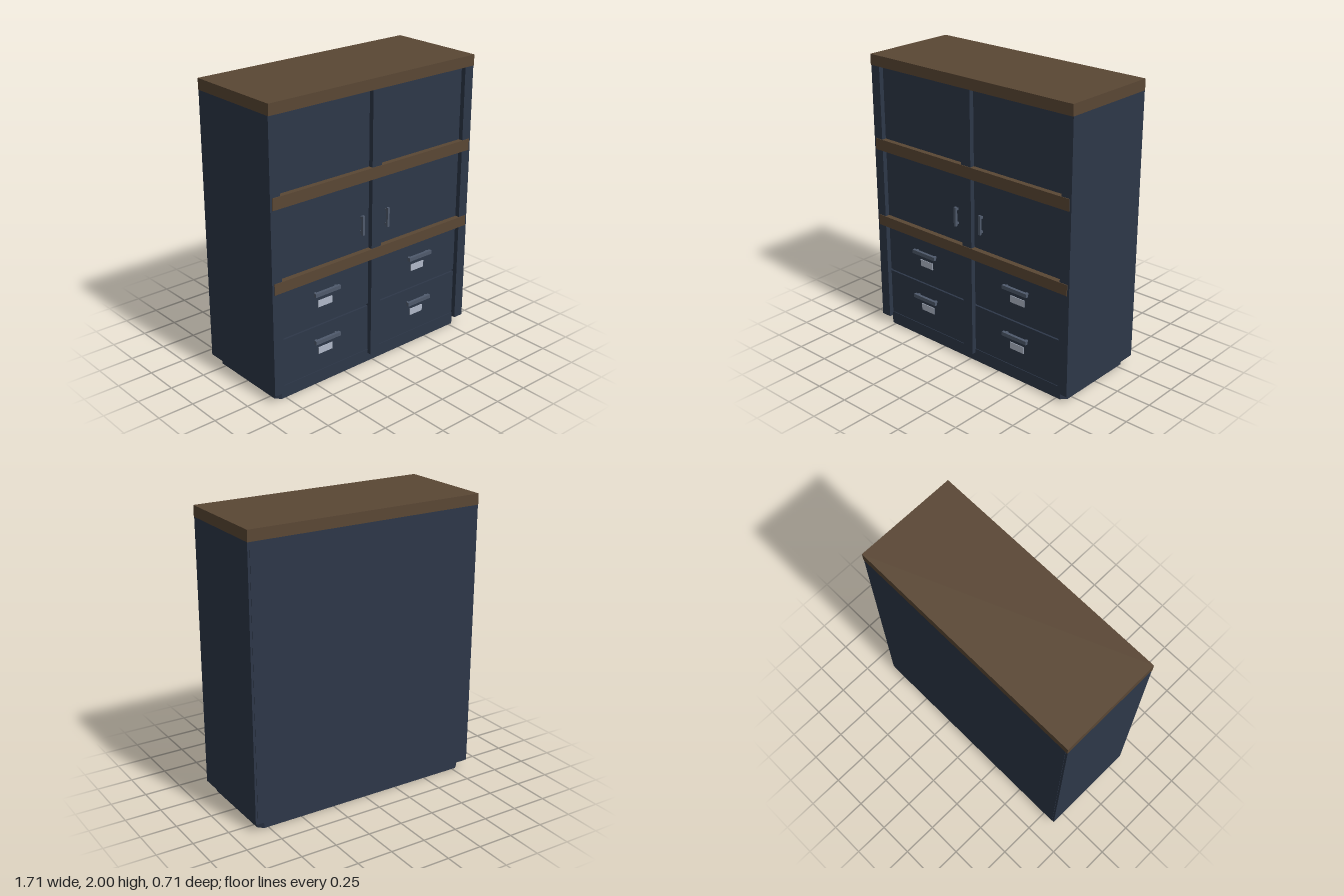
import * as THREE from 'three';

export function createModel() {
  const group = new THREE.Group();
  group.name = 'cabinet';
  const paint = (name, color) => {
    const m = new THREE.MeshStandardMaterial({ color });
    m.name = name;
    return m;
  };
  const navy = paint('navy paint', 0x2d3748);
  const wood = paint('dark wood', 0x5a4734);
  const steel = paint('grey steel', 0x4f5a6c);
  const paper = paint('label paper', 0xb0b9c9);

  // Box given by its minimum and maximum on each axis
  const box = (name, mat, [x0, x1], [y0, y1], [z0, z1]) => {
    const mesh = new THREE.Mesh(new THREE.BoxGeometry(x1 - x0, y1 - y0, z1 - z0), mat);
    mesh.position.set((x0 + x1) / 2, (y0 + y1) / 2, (z0 + z1) / 2);
    mesh.name = name;
    group.add(mesh);
    return mesh;
  };
  const span = (side, a, b) => (side > 0 ? [a, b] : [-b, -a]);

  // Plinth with chamfered corners
  const X = 0.815, Z = 0.325, c = 0.035;
  const outline = new THREE.Shape([
    [X - c, -Z], [X, c - Z], [X, Z - c], [X - c, Z],
    [c - X, Z], [-X, Z - c], [-X, c - Z], [c - X, -Z],
  ].map(([x, y]) => new THREE.Vector2(x, y)));
  const plinthGeo = new THREE.ExtrudeGeometry(outline, { depth: 0.09, bevelEnabled: false });
  plinthGeo.rotateX(-Math.PI / 2);
  const plinth = new THREE.Mesh(plinthGeo, navy);
  plinth.name = 'plinth';
  group.add(plinth);

  // Carcass
  box('backPanel', navy, [-0.84, 0.84], [0.06, 1.925], [-0.355, -0.33]);
  box('carcassCore', navy, [-0.78, 0.78], [0.07, 1.925], [-0.33, 0.305]);
  box('centrePost', navy, [-0.04, 0.04], [0.06, 1.925], [0.3, 0.353]);
  box('topBoard', wood, [-0.855, 0.855], [1.925, 2], [-0.355, 0.358]);
  box('upperShelf', wood, [-0.84, 0.84], [1.335, 1.415], [-0.33, 0.358]);
  box('lowerShelf', wood, [-0.84, 0.84], [0.775, 0.85], [-0.33, 0.358]);

  for (const s of [-1, 1]) {
    box('sidePanel', navy, span(s, 0.78, 0.855), [0.06, 1.925], [-0.352, 0.353]);

    // Doors
    box('upperDoor', navy, span(s, 0.04, 0.78), [1.415, 1.925], [0.3, 0.32]);
    box('lowerDoor', navy, span(s, 0.04, 0.78), [0.85, 1.335], [0.3, 0.32]);
    box('doorHandle', steel, span(s, 0.1, 0.117), [0.965, 1.1], [0.335, 0.352]);
    for (const y of [0.975, 1.075]) {
      box('doorHandlePost', steel, span(s, 0.102, 0.115), [y, y + 0.015], [0.318, 0.336]);
    }

    // Drawers with bar handles and label plates
    for (const y of [0.09, 0.435]) {
      box('drawerFront', navy, span(s, 0.04, 0.78), [y, y + 0.33], [0.3, 0.32]);
      const h = y < 0.2 ? 0.308 : 0.65;
      box('drawerHandle', steel, span(s, 0.308, 0.515), [h, h + 0.026], [0.336, 0.357]);
      for (const x of [0.32, 0.488]) {
        box('drawerHandlePost', steel, span(s, x, x + 0.015), [h + 0.005, h + 0.021], [0.318, 0.337]);
      }
      box('labelPlate', paper, span(s, 0.354, 0.47), [h - 0.094, h - 0.046], [0.319, 0.325]);
    }
  }
  return group;
}
